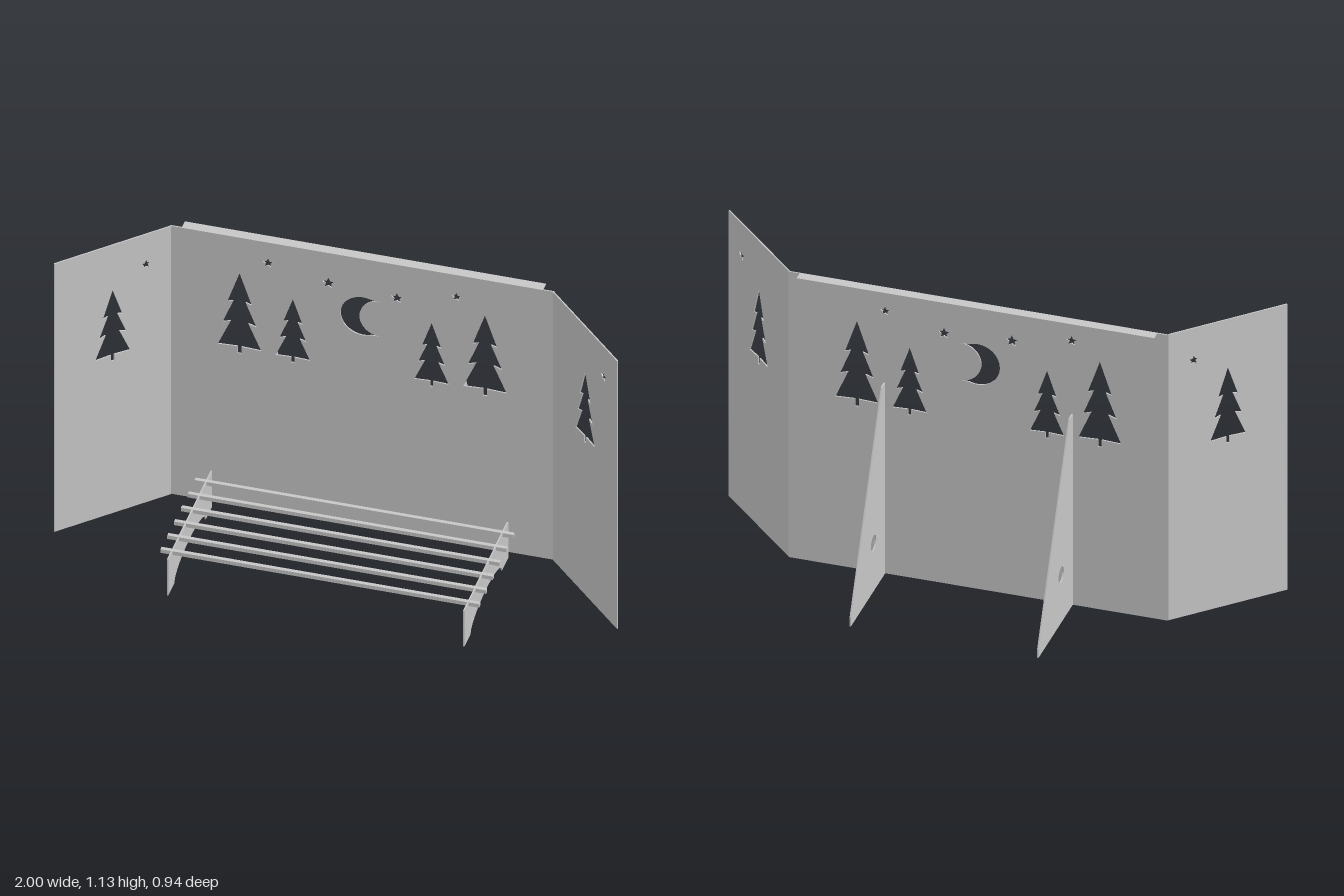
import * as THREE from 'three';

const T = 0.005; // sheet thickness
const H = 1.13; // screen height

// Stepped fir tree: yb trunk bottom, yt tip, w half width
function tree(cx, yb, yt, w) {
  const half = [[0.09, 0], [0.09, 0.085], [1, 0.075], [0.4, 0.39], [0.78, 0.36], [0.28, 0.645], [0.56, 0.625]];
  const at = (s, [a, b]) => new THREE.Vector2(cx + s * a * w, yb + b * (yt - yb));
  return new THREE.Path([
    ...half.map(p => at(1, p)), at(0, [0, 1]), ...half.slice().reverse().map(p => at(-1, p))
  ]);
}

function star(cx, cy, r) {
  const pts = [];
  for (let i = 0; i < 10; i++) {
    const a = Math.PI / 2 + i * Math.PI / 5, q = i % 2 ? r * 0.45 : r;
    pts.push(new THREE.Vector2(cx + q * Math.cos(a), cy + q * Math.sin(a)));
  }
  return new THREE.Path(pts);
}

// Crescent opening toward +x, with blunt tips
function moon(cx, cy) {
  const p = new THREE.Path();
  p.absarc(cx, cy, 0.08, 1.2, 2 * Math.PI - 1.2, false);
  p.absarc(cx + 0.06, cy, 0.073, 1.5 * Math.PI, 0.5 * Math.PI, true);
  return p;
}

function polygon(points) {
  return new THREE.Shape(points.map(([x, y]) => new THREE.Vector2(x, y)));
}

function rect(w, h) {
  return polygon([[-w / 2, 0], [w / 2, 0], [w / 2, h], [-w / 2, h]]);
}

// Flat cut sheet, centred on its thickness
function sheet(shape, holes = []) {
  shape.holes.push(...holes);
  const g = new THREE.ExtrudeGeometry(shape, { depth: T, bevelEnabled: false, curveSegments: 24 });
  return g.translate(0, 0, -T / 2);
}

export function createModel() {
  const group = new THREE.Group();
  const steel = new THREE.MeshStandardMaterial({ color: 0xc6c6c6 });
  steel.name = 'light grey steel';
  const add = (name, geometry, x = 0, y = 0, z = 0, ry = 0) => {
    const m = new THREE.Mesh(geometry, steel);
    m.name = name;
    m.position.set(x, y, z);
    m.rotation.y = ry;
    group.add(m);
  };

  // Main panel with trees, moon and stars cut through
  const cuts = [moon(0.003, 0.888),
    star(-0.334, 1.043, 0.02), star(-0.12, 1.003, 0.023),
    star(0.123, 0.989, 0.022), star(0.334, 1.037, 0.018)];
  for (const s of [-1, 1]) {
    cuts.push(tree(s * 0.435, 0.642, 0.98, 0.077), tree(s * 0.246, 0.642, 0.909, 0.061));
  }
  add('mainPanel', sheet(rect(1.36, H), cuts), 0, 0, -0.096);

  // Angled side wings, same cut pattern on both
  for (const s of [-1, 1]) {
    const wing = sheet(rect(0.452, H), [tree(0, 0.642, 0.941, 0.068), star(0.13, 1.003, 0.019)]);
    add(s > 0 ? 'leftWing' : 'rightWing', wing, s * 0.839, 0, 0.067, -s * Math.PI / 4);
  }

  // Angle stiffener along the top of the back
  add('topFlange', new THREE.BoxGeometry(1.28, 0.004, 0.036), 0, H - 0.002, -0.114);
  add('flangeLip', new THREE.BoxGeometry(1.28, 0.034, 0.002), 0, H - 0.017, -0.0985);

  // Rear support fins with a round hole
  for (const s of [-1, 1]) {
    const fin = polygon([[-0.472, 0], [-0.097, 0], [-0.097, 0.755], [-0.131, 0.755], [-0.472, 0.035]]);
    const hole = new THREE.Path();
    hole.absarc(-0.225, 0.19, 0.029, 0, Math.PI * 2, true);
    add('supportFin', sheet(fin, [hole]), s * 0.336, 0, 0, -Math.PI / 2);
  }

  // Grate: arched end plates notched for square bars
  const barZ = [0, 1, 2, 3, 4, 5].map(i => i * 0.083);
  const b = 0.0075, top = 0.152;
  for (const s of [-1, 1]) {
    const leg = new THREE.Shape();
    leg.moveTo(-0.06, top);
    leg.lineTo(-0.06, 0);
    leg.lineTo(0.015, 0);
    leg.absellipse(0.206, 0, 0.191, 0.057, Math.PI, 0, true);
    leg.lineTo(0.472, 0);
    leg.lineTo(0.472, top);
    for (const z of barZ.slice().reverse()) {
      leg.lineTo(z + b, top);
      leg.lineTo(z + b, top - 2 * b);
      leg.lineTo(z - b, top - 2 * b);
      leg.lineTo(z - b, top);
    }
    add('grateLeg', sheet(leg), s * 0.525, 0, 0, -Math.PI / 2);
  }
  for (const z of barZ) add('grateBar', new THREE.BoxGeometry(1.13, 2 * b, 2 * b), 0, top - b, z);

  return group;
}
